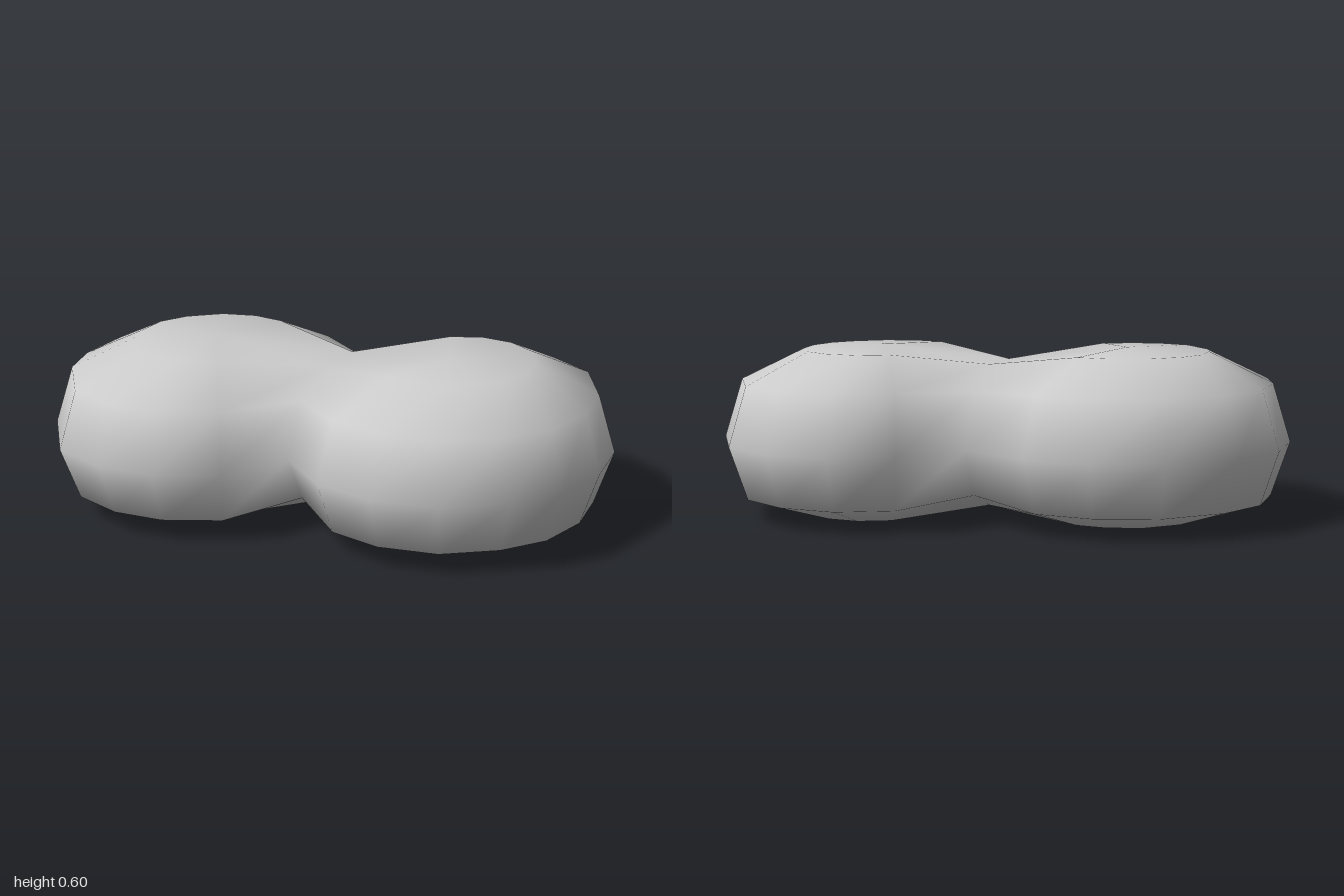
import * as THREE from 'three';

// Plan outline [x, z] of the two fused lobes; points 0 and 12 are the notches of the waist
const outline = [
  [-0.09, 0.30], [0.05, 0.49], [0.24, 0.59], [0.47, 0.61], [0.69, 0.53], [0.85, 0.41],
  [0.96, 0.22], [1, 0], [0.94, -0.28], [0.79, -0.44], [0.58, -0.52], [0.35, -0.49],
  [0.13, -0.33], [-0.07, -0.53], [-0.28, -0.62], [-0.53, -0.62], [-0.78, -0.50], [-0.93, -0.34],
  [-1, -0.11], [-1, 0.08], [-0.89, 0.36], [-0.71, 0.48], [-0.51, 0.52], [-0.28, 0.48],
];
const centres = [[0.43, 0.05], [-0.43, -0.05]];
const waistCentre = [0.02, -0.015];

// Levels from bottom to top: lobe scale, height, waist scale, waist height
const levels = [
  [0.5, 0.005, 0.3, 0.04],
  [0.89, 0.08, 0.74, 0.1],
  [1, 0.27, 1, 0.27],
  [0.89, 0.475, 0.74, 0.46],
  [0.5, 0.583, 0.3, 0.54],
];

function lobesGeometry() {
  const positions = [], indices = [];
  const n = outline.length, half = n / 2;

  // Each ring shrinks toward the centre of its own lobe
  for (const [scale, y, waistScale, waistY] of levels) {
    outline.forEach(([x, z], i) => {
      const waist = i % half === 0;
      const [cx, cz] = waist ? waistCentre : centres[i < half ? 0 : 1];
      const s = waist ? waistScale : scale;
      positions.push(cx + (x - cx) * s, waist ? waistY : y, cz + (z - cz) * s);
    });
  }

  // Side skin
  for (let k = 0; k < levels.length - 1; k++) {
    for (let i = 0; i < n; i++) {
      const a = k * n + i, b = k * n + (i + 1) % n;
      indices.push(a, b, b + n, a, b + n, a + n);
    }
  }

  // Bottom and top fans for each lobe, meeting along the waist valley
  for (const [start, y, up] of [[0, 0, false], [(levels.length - 1) * n, 0.595, true]]) {
    centres.forEach(([cx, cz], lobe) => {
      const c = positions.length / 3;
      positions.push(cx, y, cz);
      const ring = Array.from({ length: half + 1 }, (_, j) => start + (lobe * half + j) % n);
      ring.forEach((a, j) => {
        const b = ring[(j + 1) % ring.length];
        indices.push(c, ...(up ? [a, b] : [b, a]));
      });
    });
  }

  const geometry = new THREE.BufferGeometry();
  geometry.setAttribute('position', new THREE.Float32BufferAttribute(positions, 3));
  geometry.setIndex(indices);
  geometry.computeVertexNormals();
  return geometry;
}

export function createModel() {
  const group = new THREE.Group();
  const body = new THREE.Mesh(lobesGeometry(), new THREE.MeshStandardMaterial({ color: 0xcccccc }));
  body.name = 'fusedLobes';
  group.add(body);
  return group;
}
